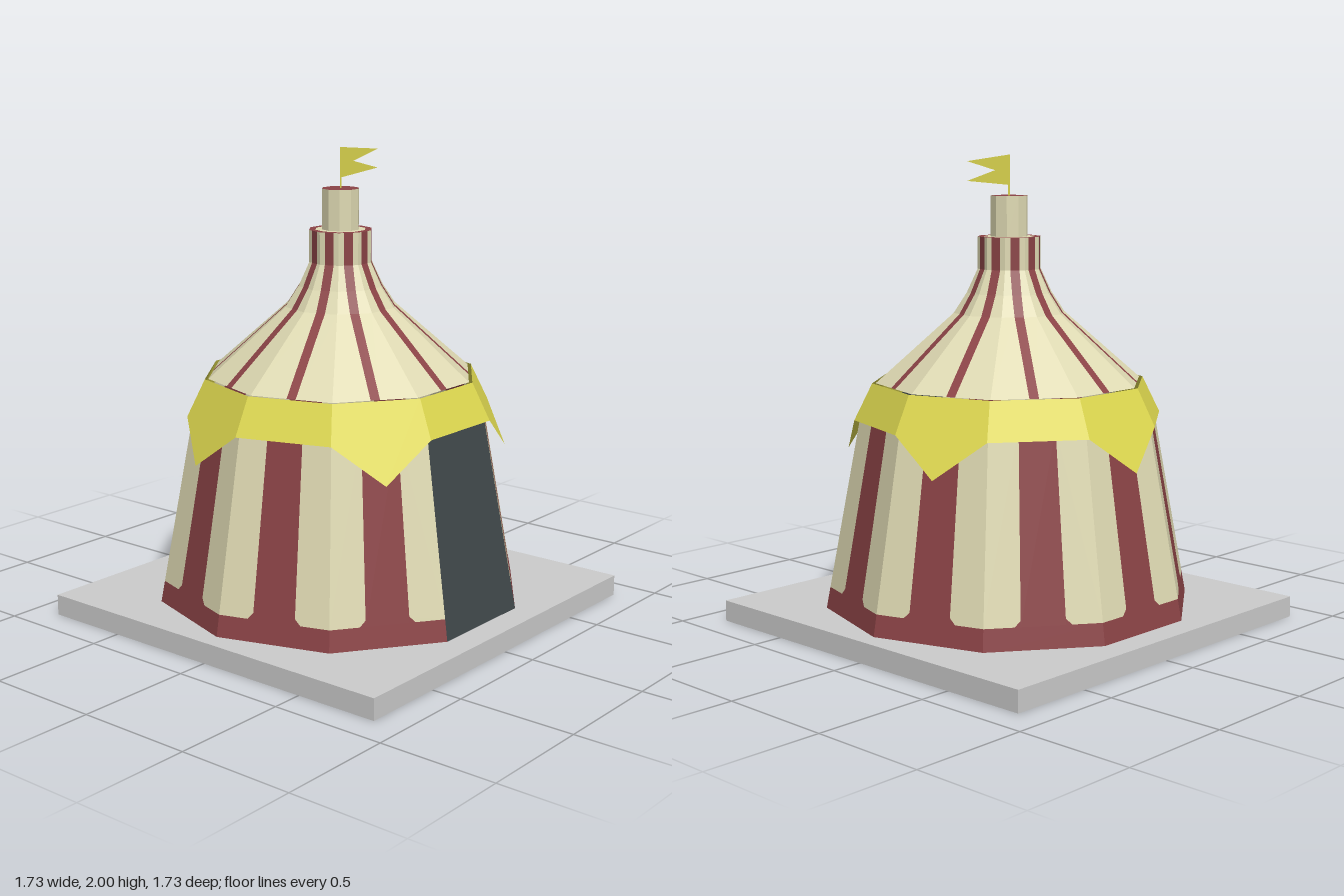
import * as THREE from 'three';

const SIDES = 10;
const STEP = (Math.PI * 2) / SIDES;

function mat(name, color) {
  const m = new THREE.MeshStandardMaterial({ color, side: THREE.DoubleSide });
  m.name = name;
  return m;
}

// Point on ten-sided face k; u runs 0..1 left to right as seen from outside
function facePoint(k, u, r, y) {
  const a = k * STEP, b = (k - 1) * STEP;
  return [
    r * THREE.MathUtils.lerp(Math.cos(a), Math.cos(b), u),
    y,
    r * THREE.MathUtils.lerp(Math.sin(a), Math.sin(b), u),
  ];
}

// Flat-shaded mesh from convex polygons, each fanned from its first corner
function polyMesh(name, polys, material) {
  const pos = [];
  for (const p of polys)
    for (let i = 1; i < p.length - 1; i++) pos.push(...p[0], ...p[i], ...p[i + 1]);
  const g = new THREE.BufferGeometry();
  g.setAttribute('position', new THREE.Float32BufferAttribute(pos, 3));
  g.computeVertexNormals();
  const m = new THREE.Mesh(g, material);
  m.name = name;
  return m;
}

export function createModel() {
  const red = mat('red canvas', 0x8b4346);
  const cream = mat('cream canvas', 0xdfdab3);
  const yellow = mat('yellow trim', 0xddd74f);
  const grey = mat('grey base', 0xcccccc);
  const dark = mat('dark doorway', 0x40484a);

  const group = new THREE.Group();
  group.name = 'tent';
  const add = (name, geometry, material, y = 0) => {
    const m = new THREE.Mesh(geometry, material);
    m.name = name;
    m.position.y = y;
    group.add(m);
    return m;
  };

  // Base plate, open underneath
  const plate = new THREE.BoxGeometry(1.734, 0.09, 1.734);
  const index = Array.from(plate.index.array);
  index.splice(18, 6);
  plate.setIndex(index);
  plate.clearGroups();
  add('basePlate', plate, grey, 0.045);

  // Walls: red foot band and centre stripe, cream sides, a doorway in front
  const wallR = (y) => 0.79 - (y - 0.09) * 0.187;
  const foot = 0.085, band = 0.18, top = 0.94, cut = 0.025;
  const wallRed = [], wallCream = [], door = [];
  for (let k = 0; k < SIDES; k++) {
    const poly = (...pts) => pts.map(([u, y]) => facePoint(k, u, wallR(y), y));
    if (k === 3) {
      door.push(poly([0, foot], [1, foot], [1, top], [0, top]));
      continue;
    }
    const a = 0.31, b = 0.69, c = 0.05;
    wallRed.push(
      poly([0, foot], [1, foot], [1, band], [0, band]),
      poly([a, band], [b, band], [b, top], [a, top]),
      poly([a - c, band], [a, band], [a, band + cut]),
      poly([b, band], [b + c, band], [b, band + cut]));
    wallCream.push(
      poly([0, band], [a - c, band], [a, band + cut], [a, top], [0, top]),
      poly([1, band], [1, top], [b, top], [b, band + cut], [b + c, band]));
  }
  group.add(polyMesh('wallStripes', wallRed, red));
  group.add(polyMesh('wallPanels', wallCream, cream));
  group.add(polyMesh('doorway', door, dark));

  // Roof and collar, with a stripe of constant width down each face
  const profile = [[0.57, 1.05], [0.238, 1.34], [0.182, 1.425], [0.135, 1.525], [0.135, 1.66]];
  const roofRed = [], roofCream = [];
  const half = (r) => 0.0195 / (2 * r * Math.sin(STEP / 2));
  for (let k = 0; k < SIDES; k++) {
    for (let i = 0; i < profile.length - 1; i++) {
      const [r0, y0] = profile[i], [r1, y1] = profile[i + 1];
      const h0 = half(r0), h1 = half(r1);
      const quad = (u0, u1, v0, v1) => [
        facePoint(k, u0, r0, y0), facePoint(k, u1, r0, y0),
        facePoint(k, v1, r1, y1), facePoint(k, v0, r1, y1)];
      roofCream.push(quad(0, 0.5 - h0, 0, 0.5 - h1), quad(0.5 + h0, 1, 0.5 + h1, 1));
      roofRed.push(quad(0.5 - h0, 0.5 + h0, 0.5 - h1, 0.5 + h1));
    }
  }
  group.add(polyMesh('roofPanels', roofCream, cream));
  group.add(polyMesh('roofStripes', roofRed, red));

  // Collar top: red rim around a cream ledge
  const ring = (inner, outer) => new THREE.RingGeometry(inner, outer, SIDES).rotateX(-Math.PI / 2);
  add('collarRim', ring(0.108, 0.135), red, 1.66);
  add('collarLedge', ring(0.07, 0.108), cream, 1.66);

  // Cupola with a red lid
  const cupola = new THREE.CylinderGeometry(0.079, 0.079, 0.17, SIDES, 1, true, Math.PI / 2)
    .toNonIndexed();
  cupola.computeVertexNormals();
  add('cupola', cupola, cream, 1.745);
  add('cupolaLid', new THREE.CircleGeometry(0.079, SIDES).rotateX(-Math.PI / 2), red, 1.83);

  // Flared valance with a hanging point on every second face
  const valR = (y) => 0.585 + (1.05 - y) * 0.497;
  const valance = [];
  for (let k = 0; k < SIDES; k++) {
    const pts = [[1, 0.895], [1, 1.05], [0, 1.05], [0, 0.895]];
    if (k % 2 === 0) pts.unshift([0.5, 0.74]);
    valance.push(pts.map(([u, y]) => facePoint(k, u, valR(y), y)));
  }
  group.add(polyMesh('valance', valance, yellow));

  // Swallow-tailed flag on a thin staff
  const flag = new THREE.Shape([
    [-0.004, 1.83], [0.006, 1.83], [0.006, 1.874], [0.25, 1.895],
    [0.085, 1.936], [0.25, 1.975], [-0.004, 2],
  ].map(([x, y]) => new THREE.Vector2(x, y)));
  add('flag', new THREE.ShapeGeometry(flag), yellow);

  return group;
}
